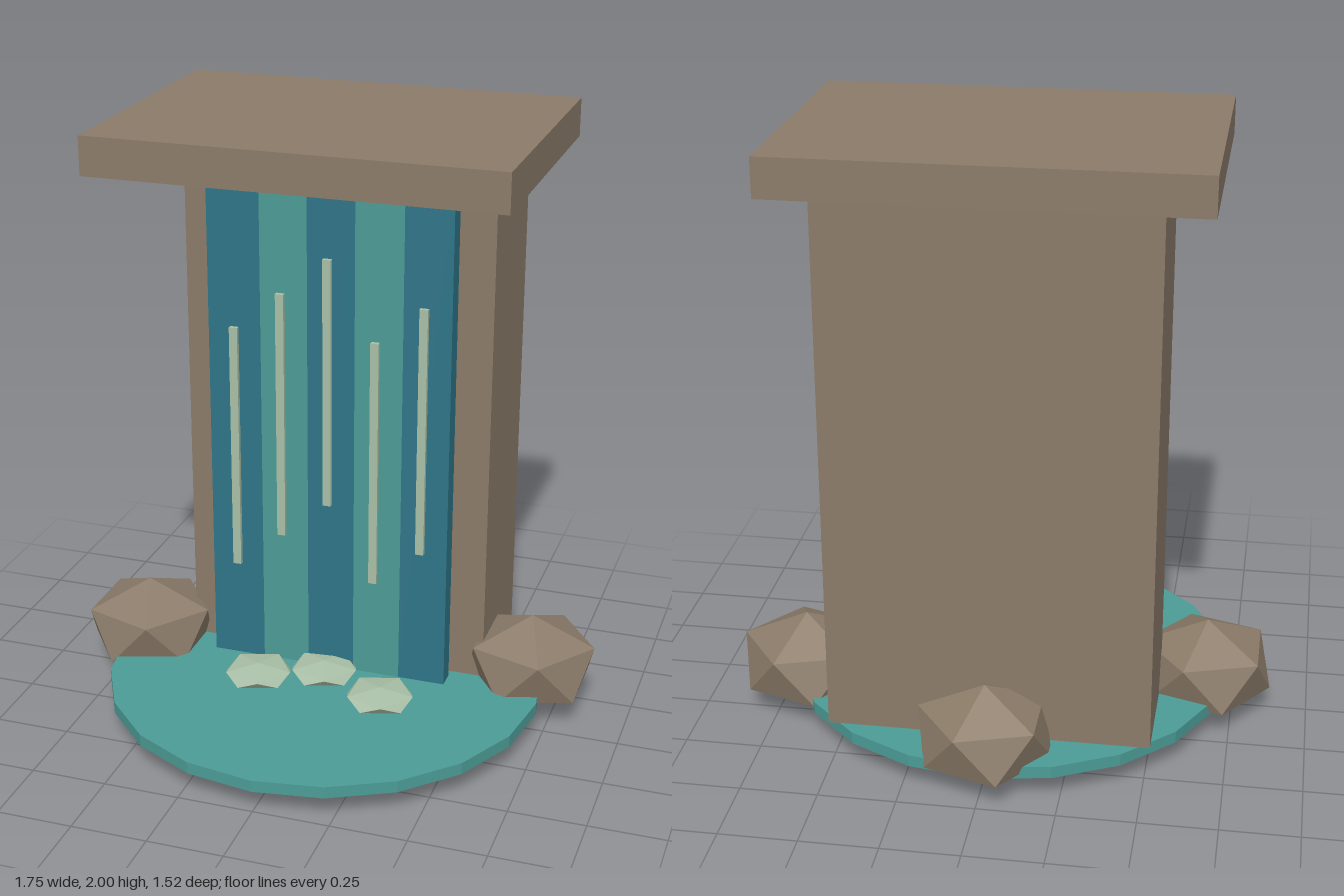
import * as THREE from 'three';
import { ConvexGeometry } from 'three/addons/geometries/ConvexGeometry.js';

const material = (name, color) => {
  const m = new THREE.MeshStandardMaterial({ color });
  m.name = name;
  return m;
};

// Box given by its min and max along each axis
function box(name, mat, [x0, x1], [y0, y1], [z0, z1]) {
  const mesh = new THREE.Mesh(new THREE.BoxGeometry(x1 - x0, y1 - y0, z1 - z0), mat);
  mesh.position.set((x0 + x1) / 2, (y0 + y1) / 2, (z0 + z1) / 2);
  mesh.name = name;
  return mesh;
}

// Squashed icosahedron standing on a point: two poles and two staggered rings of five
function pebble(ring, height) {
  const points = [new THREE.Vector3(0, height, 0), new THREE.Vector3(0, -height, 0)];
  for (let i = 0; i < 10; i++) {
    const a = (i * Math.PI) / 5;
    const y = height * 0.447 * (i % 2 ? -1 : 1);
    points.push(new THREE.Vector3(ring * Math.cos(a), y, ring * Math.sin(a)));
  }
  return new ConvexGeometry(points);
}

export function createModel() {
  const model = new THREE.Group();
  model.name = 'waterfall';
  const stone = material('stone', 0x8b7b69);
  const deepWater = material('deep water', 0x2f7588);
  const lightWater = material('light water', 0x4c9c96);
  const foam = material('foam', 0xa9bfa6);

  // Cliff and overhanging ledge
  model.add(box('cliff', stone, [-0.517, 0.517], [0.12, 1.88], [-0.51, -0.09]));
  model.add(box('ledge', stone, [-0.663, 0.663], [1.875, 2], [-0.58, 0.375]));

  // Pool
  const pool = new THREE.Mesh(new THREE.CylinderGeometry(0.73, 0.73, 0.04, 20), lightWater);
  pool.material.flatShading = true;
  pool.position.set(0, 0.1, 0.03);
  pool.name = 'pool';
  model.add(pool);

  // Falling water in alternating strips
  const edges = [-0.407, -0.229, -0.07, 0.089, 0.249, 0.407];
  for (let i = 0; i < 5; i++) {
    model.add(box('waterStrip', i % 2 ? lightWater : deepWater,
      [edges[i], edges[i + 1]], [0.12, 1.877], [-0.06, 0.005]));
  }

  // Bright streaks on the water
  [0.465, 0.595, 0.725, 0.465, 0.595].forEach((y, i) => {
    const x = (i - 2) * 0.159;
    model.add(box('streak', foam, [x - 0.014, x + 0.014], [y, y + 0.845], [0, 0.02]));
  });

  // Rocks around the rim and foam at the foot of the fall
  const scatter = (name, geometry, mat, places) => places.forEach((p) => {
    const mesh = new THREE.Mesh(geometry, mat);
    mesh.position.set(...p);
    mesh.name = name;
    model.add(mesh);
  });
  scatter('rock', pebble(0.213, 0.165), stone,
    [[-0.663, 0.167, -0.03], [0.663, 0.167, -0.18], [0, 0.167, -0.56]]);
  scatter('foamPatch', pebble(0.113, 0.031), foam,
    [[-0.2, 0.139, 0.145], [0.005, 0.139, 0.06], [0.235, 0.139, 0.172]]);

  return model;
}
